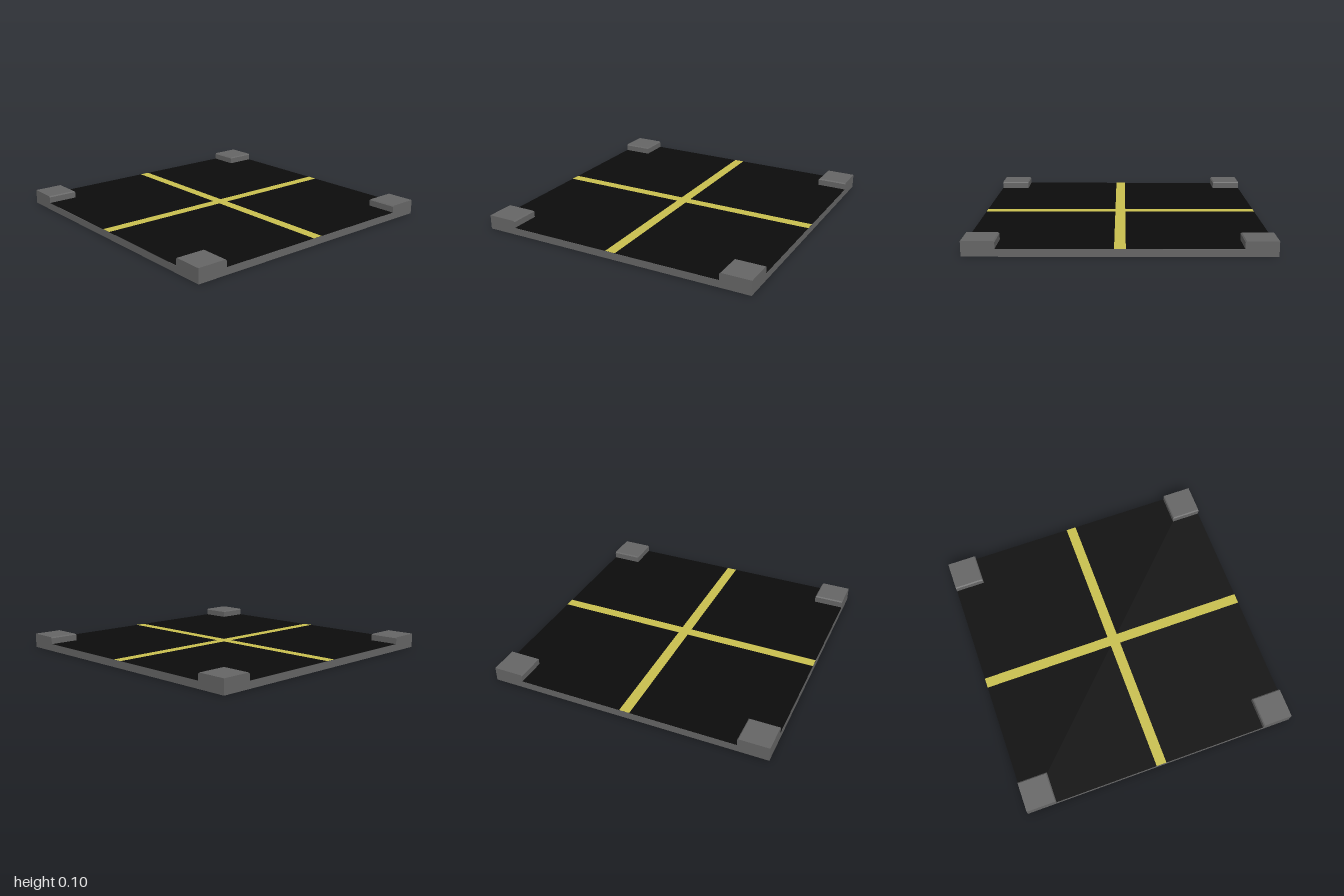
import * as THREE from 'three';

const material = (color) => new THREE.MeshStandardMaterial({ color, roughness: 0.9, flatShading: true });

export function createModel() {
  const group = new THREE.Group();
  const grey = material(0x666666), black = material(0x0c0c0c), yellow = material(0xc9c04f);
  const BASE = 0.05, TOP = 0.102, BLOCK = 0.215, BEVEL = 0.008;

  const add = (name, geometry, mat, x, y, z) => {
    const mesh = new THREE.Mesh(geometry, mat);
    mesh.name = name;
    mesh.position.set(x, y, z);
    group.add(mesh);
    return mesh;
  };

  // Square slab
  add('baseSlab', new THREE.BoxGeometry(2, BASE, 2), grey, 0, BASE / 2, 0);

  // Dark road surface covering the slab
  add('roadSurface', new THREE.PlaneGeometry(2, 2).rotateX(-Math.PI / 2), black, 0, BASE + 0.001, 0);

  // Crossing yellow centre lines, cut as one plus-shaped sheet
  const w = 0.037;
  const cross = new THREE.Shape([
    [w, -1], [w, -w], [1, -w], [1, w], [w, w], [w, 1],
    [-w, 1], [-w, w], [-1, w], [-1, -w], [-w, -w], [-w, -1],
  ].map(([x, y]) => new THREE.Vector2(x, y)));
  add('centreLines', new THREE.ShapeGeometry(cross).rotateX(-Math.PI / 2), yellow, 0, BASE + 0.002, 0);

  // Raised corner blocks, with the top edges facing inward slightly bevelled
  const h = TOP - BASE;
  for (const sx of [-1, 1]) {
    for (const sz of [-1, 1]) {
      const geometry = new THREE.BoxGeometry(BLOCK, h, BLOCK, 1, 2, 1);
      const p = geometry.attributes.position;
      for (let i = 0; i < p.count; i++) {
        const y = p.getY(i);
        if (Math.abs(y) < 1e-6) p.setY(i, h / 2 - BEVEL);
        if (y > 1e-6) {
          if (p.getX(i) * sx < 0) p.setX(i, p.getX(i) + sx * BEVEL);
          if (p.getZ(i) * sz < 0) p.setZ(i, p.getZ(i) + sz * BEVEL);
        }
      }
      geometry.computeVertexNormals();
      const name = (sz > 0 ? 'front' : 'back') + (sx > 0 ? 'Left' : 'Right') + 'CornerBlock';
      add(name, geometry, grey, sx * (1 - BLOCK / 2), BASE + h / 2, sz * (1 - BLOCK / 2));
    }
  }
  return group;
}
